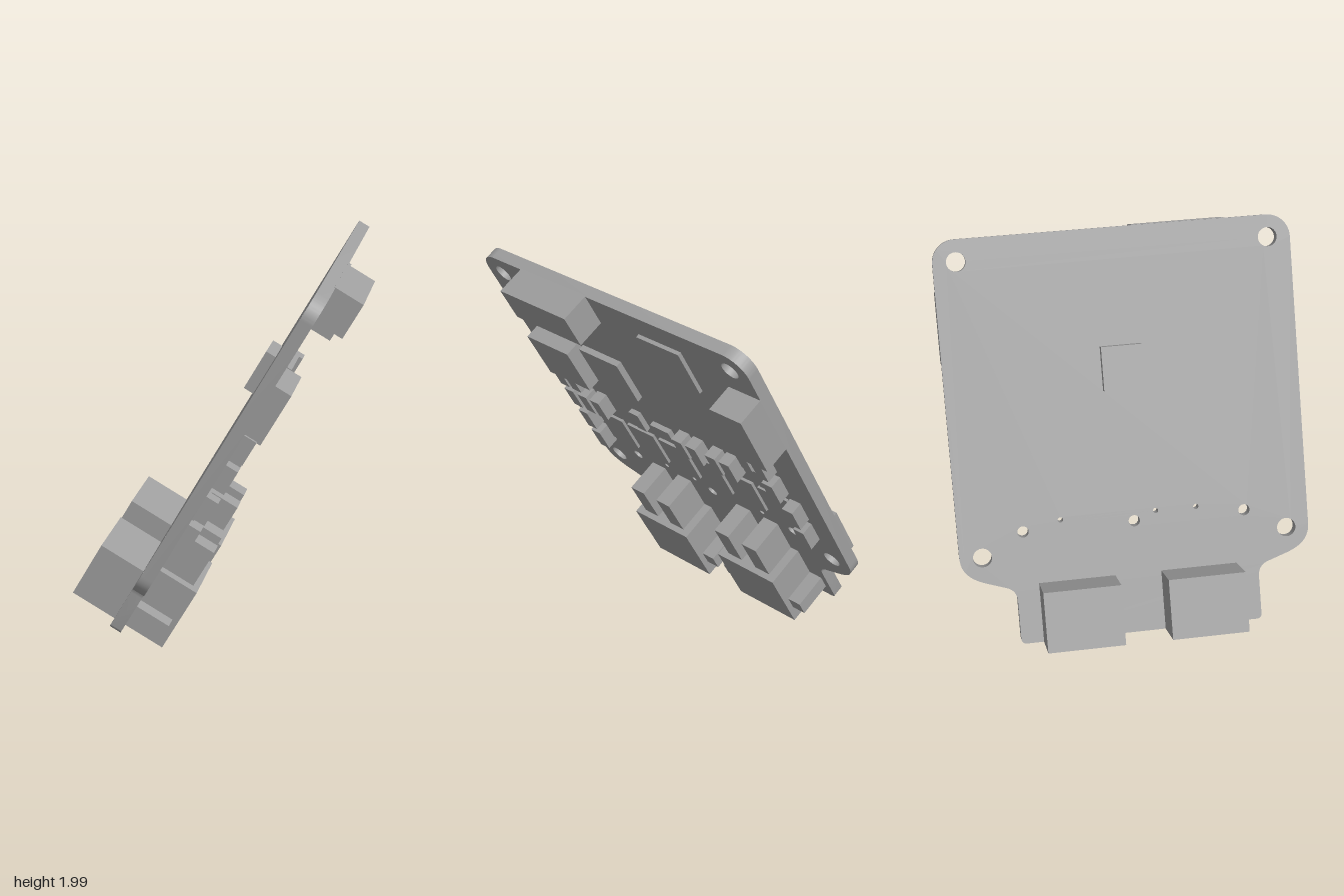
import * as THREE from 'three';
import { toCreasedNormals } from 'three/addons/utils/BufferGeometryUtils.js';

const T = 0.065; // board thickness
const grey = new THREE.MeshStandardMaterial({ color: 0xa0a0a0 });
grey.name = 'plain grey';

// Board outline: wide body with a narrow neck at the bottom, pierced by holes
function boardGeometry() {
  const s = new THREE.Shape();
  const W = 0.93, N = 0.645, H = 2.135, R = 0.12;
  s.moveTo(-N + 0.03, 0);
  s.lineTo(N - 0.03, 0);
  s.quadraticCurveTo(N, 0, N, 0.03);
  s.lineTo(N, 0.23);
  s.quadraticCurveTo(N, 0.29, 0.7, 0.308);
  s.lineTo(0.8, 0.342);
  s.bezierCurveTo(0.88, 0.37, W, 0.41, W, 0.49);
  s.lineTo(W, H - R);
  s.absarc(W - R, H - R, R, 0, Math.PI / 2);
  s.lineTo(-W + R, H);
  s.absarc(-W + R, H - R, R, Math.PI / 2, Math.PI);
  s.lineTo(-W, 0.49);
  s.bezierCurveTo(-W, 0.41, -0.88, 0.37, -0.8, 0.342);
  s.lineTo(-0.7, 0.308);
  s.quadraticCurveTo(-N, 0.29, -N, 0.23);
  s.lineTo(-N, 0.03);
  s.quadraticCurveTo(-N, 0, -N + 0.03, 0);

  const hole = (z, v, r) => {
    const p = new THREE.Path();
    p.absarc(-z, v, r, 0, Math.PI * 2, true);
    s.holes.push(p);
  };
  for (const z of [-0.81, 0.81]) for (const v of [0.48, 2.02]) hole(z, v, 0.05);
  for (const z of [-0.588, 0, 0.588]) hole(z, 0.596, 0.03);
  for (const z of [-0.388, 0.117, 0.332]) hole(z, 0.64, 0.014);

  const g = new THREE.ExtrudeGeometry(s, { depth: T, bevelEnabled: false, curveSegments: 12 });
  return toCreasedNormals(g, 0.6);
}

export function createModel() {
  const model = new THREE.Group();
  model.name = 'circuitBoard';

  // Tilted frame: local x runs to -z, y up along the board, z out of its face
  const c = Math.cos(Math.PI / 6), tilted = new THREE.Group();
  tilted.name = 'tiltedAssembly';
  const basis = new THREE.Matrix4().makeBasis(
    new THREE.Vector3(0, 0, -1), new THREE.Vector3(0.5, c, 0), new THREE.Vector3(c, -0.5, 0));
  tilted.quaternion.setFromRotationMatrix(basis);
  tilted.position.set(-0.525, 0.15, 0);
  model.add(tilted);

  // Box between two z values, two heights along the board and two depths
  const block = (name, z0, z1, v0, v1, w1, w0 = T - 0.005) => {
    const m = new THREE.Mesh(
      new THREE.BoxGeometry(Math.abs(z1 - z0), v1 - v0, Math.abs(w1 - w0)), grey);
    m.position.set(-(z0 + z1) / 2, (v0 + v1) / 2, (w0 + w1) / 2);
    m.name = name;
    tilted.add(m);
  };

  const board = new THREE.Mesh(boardGeometry(), grey);
  board.name = 'board';
  tilted.add(board);

  // Two large ports wrapping the lower edge, with side tabs and top posts
  for (const z of [-0.325, 0.325]) {
    block('portFront', z - 0.202, z + 0.202, -0.001, 0.369, 0.289);
    block('portBack', z - 0.202, z + 0.202, -0.001, 0.316, -0.252, 0.005);
    for (const side of [-1, 1]) {
      block('portTab', z + side * 0.2, z + side * 0.284, 0.085, 0.168, 0.257);
      block('portPost', z + side * 0.1 - 0.05, z + side * 0.1 + 0.05, 0.365, 0.587, 0.256);
    }
  }

  // Row of six driver chips
  for (let i = 0; i < 6; i++) {
    const z = -0.608 + i * 0.2432;
    block('driverChip', z - 0.101, z + 0.101, 0.716, 0.955, 0.08);
  }

  // Larger chips and connectors
  block('topConnector', 0.11, 0.594, 1.942, 2.138, 0.22);
  block('sideConnector', -0.727, -0.93, 1.496, 1.865, 0.211);
  block('powerModule', 0.467, 0.785, 1.337, 1.631, 0.156);
  block('processor', 0.148, 0.435, 1.339, 1.625, 0.098);
  block('memoryChip', -0.477, -0.19, 1.706, 1.995, 0.085);
  block('backChip', -0.11, 0.105, 1.296, 1.527, -0.056, 0.005);

  // Small capacitors: centre z, centre height
  const capacitors = [
    [0.765, 1.096], [0.66, 1.096], [0.56, 1.096], [-0.072, 1.096], [-0.173, 1.096],
    [-0.315, 1.096], [-0.414, 1.096], [-0.709, 1.093],
    [0.765, 1.275], [0.67, 1.275], [-0.709, 1.275], [-0.612, 1.304],
    [0.765, 0.903], [0.765, 0.727], [-0.764, 0.903], [-0.764, 0.727],
  ];
  for (const [z, v] of capacitors) block('capacitor', z - 0.035, z + 0.035, v - 0.069, v + 0.069, 0.134);

  // Low resistors
  block('resistor', 0.265, 0.334, 1.013, 1.148, 0.093);
  block('resistor', 0.048, 0.186, 1.048, 1.117, 0.093);
  block('resistor', -0.637, -0.568, 1.013, 1.15, 0.093);

  return model;
}
